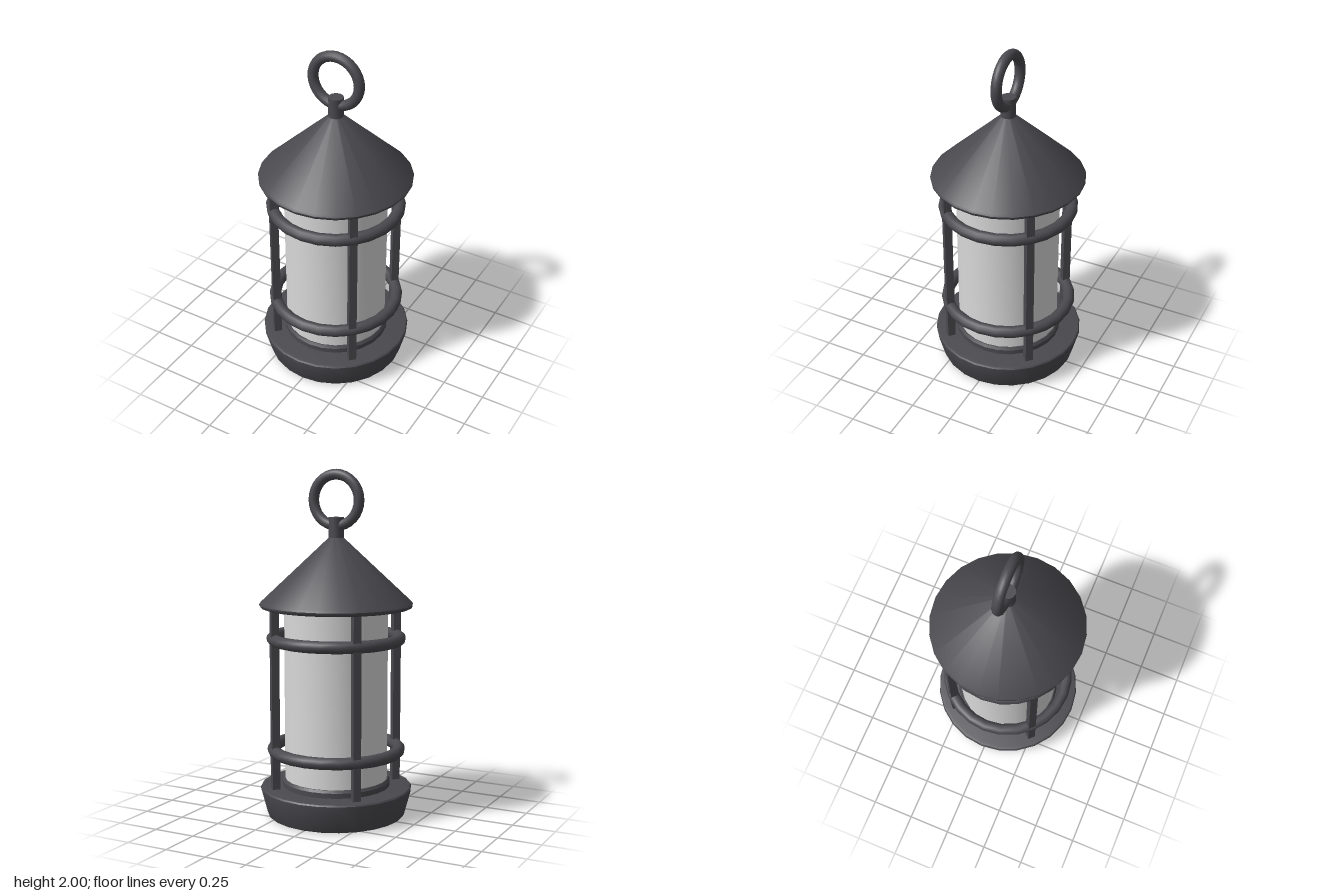
import * as THREE from 'three';
import { toCreasedNormals } from 'three/addons/utils/BufferGeometryUtils.js';

const SIDES = 24;

export function createModel() {
  const lantern = new THREE.Group();
  lantern.name = 'lantern';

  const metal = new THREE.MeshStandardMaterial({ color: 0x4a494e });
  metal.name = 'dark metal';
  const frosted = new THREE.MeshStandardMaterial({ color: 0xd9d9d9 });
  frosted.name = 'frosted glass';

  const add = (name, geometry, material = metal) => {
    const mesh = new THREE.Mesh(geometry, material);
    mesh.name = name;
    lantern.add(mesh);
    return mesh;
  };

  // Turned part from [radius, height] points, bottom to top
  const turned = (profile, sides = SIDES) =>
    toCreasedNormals(
      new THREE.LatheGeometry(profile.map(([r, y]) => new THREE.Vector2(r, y)), sides), 0.6);

  // Flared base with softened edges
  add('base', turned([
    [0, 0], [0.385, 0], [0.396, 0.004], [0.403, 0.015],
    [0.44, 0.155], [0.44, 0.165], [0.434, 0.173], [0.42, 0.176], [0, 0.176],
  ]));

  // Stepped collar that seats the glass
  add('glassCollar', turned([
    [0.314, 0.17], [0.314, 0.205], [0.309, 0.212], [0.304, 0.22], [0.28, 0.22],
  ]));

  // Glass cylinder
  add('glass', turned([[0, 0.2], [0.298, 0.2], [0.298, 1.225], [0, 1.225]]), frosted);

  // Conical roof with a rounded rim and flat underside
  add('roof', turned([
    [0, 1.216], [0.42, 1.216], [0.432, 1.22], [0.439, 1.229],
    [0.44, 1.238], [0.432, 1.25], [0.04, 1.617], [0, 1.625],
  ]));

  // Stem on the roof peak
  add('stem', turned([[0, 1.59], [0.043, 1.59], [0.043, 1.73], [0, 1.73]], 12));

  // Carrying ring
  add('carryRing', new THREE.TorusGeometry(0.144, 0.03, 12, 32)).position.y = 1.826;

  // Upper and lower guard rings
  for (const [name, y] of [['lowerGuardRing', 0.39], ['upperGuardRing', 1.04]]) {
    const ring = add(name, new THREE.TorusGeometry(0.366, 0.035, 12, SIDES));
    ring.rotation.x = Math.PI / 2;
    ring.position.y = y;
  }

  // Four square posts on the diagonals, facing outward
  for (let i = 0; i < 4; i++) {
    const angle = Math.PI / 4 + (i * Math.PI) / 2;
    const post = add('post' + (i + 1), new THREE.BoxGeometry(0.045, 1.06, 0.045));
    post.position.set(0.366 * Math.sin(angle), 0.695, 0.366 * Math.cos(angle));
    post.rotation.y = angle;
  }

  return lantern;
}
